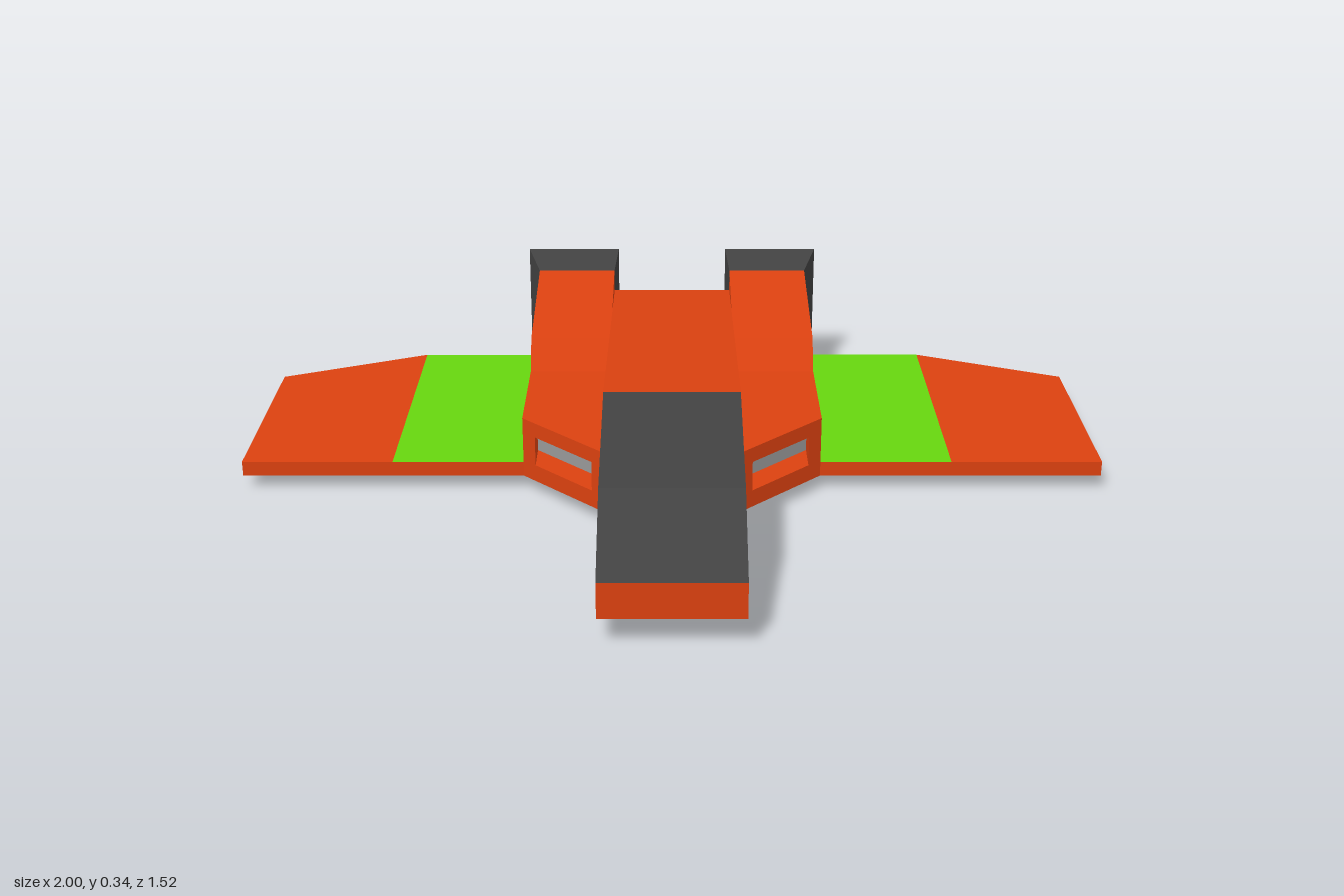
import * as THREE from 'three';

const mat = (name, color) => {
  const m = new THREE.MeshStandardMaterial({ color });
  m.name = name;
  return m;
};

// Slab with a (z, y) side profile, spanning x0..x1
function sideSlab(points, x0, x1) {
  const shape = new THREE.Shape(points.map(p => new THREE.Vector2(...p)));
  return new THREE.ExtrudeGeometry(shape, { depth: x1 - x0, bevelEnabled: false })
    .rotateY(-Math.PI / 2).translate(x1, 0, 0);
}

// Move vertices chosen by the test backwards, the further out the more
const SWEEP = 0.2 / 0.195;
function sweep(geo, test = () => true) {
  const p = geo.attributes.position;
  for (let i = 0; i < p.count; i++) {
    if (test(p.getZ(i))) p.setZ(i, p.getZ(i) - (p.getX(i) - 0.15) * SWEEP);
  }
  geo.computeVertexNormals();
  return geo;
}

// Skin through rectangular sections [x0, x1, y0, y1, z]
function rectLoft(sections) {
  const loops = sections.map(([x0, x1, y0, y1, z]) =>
    [[x0, y0, z], [x1, y0, z], [x1, y1, z], [x0, y1, z]]);
  const v = [];
  for (let s = 0; s < loops.length - 1; s++) {
    for (let i = 0; i < 4; i++) {
      const j = (i + 1) % 4, a = loops[s], b = loops[s + 1];
      v.push(...a[i], ...b[i], ...b[j], ...a[i], ...b[j], ...a[j]);
    }
  }
  const geo = new THREE.BufferGeometry();
  geo.setAttribute('position', new THREE.Float32BufferAttribute(v, 3));
  geo.computeVertexNormals();
  return geo;
}

// Mirrored copy across x = 0 with the winding put right
function mirrored(geo) {
  const g = geo.index ? geo.toNonIndexed() : geo.clone();
  const p = g.attributes.position, a = new THREE.Vector3(), b = new THREE.Vector3();
  g.scale(-1, 1, 1);
  for (let i = 0; i < p.count; i += 3) {
    a.fromBufferAttribute(p, i + 1);
    b.fromBufferAttribute(p, i + 2);
    p.setXYZ(i + 1, b.x, b.y, b.z);
    p.setXYZ(i + 2, a.x, a.y, a.z);
  }
  g.computeVertexNormals();
  return g;
}

export function createModel() {
  const orange = mat('orange hull', 0xdb4110);
  const green = mat('green stripe', 0x66d60f);
  const dark = mat('dark grey', 0x414141);
  const grey = mat('light grey', 0x999999);

  const model = new THREE.Group();
  model.name = 'spacecraft';
  const add = (name, geo, material) => {
    const mesh = new THREE.Mesh(geo, material);
    mesh.name = name;
    model.add(mesh);
  };
  const addPair = (name, geo, material) => {
    add(name + 'Left', geo, material);
    add(name + 'Right', mirrored(geo), material);
  };

  // Fuselage and canopy
  add('fuselage', sideSlab([
    [0.76, 0.065], [0.76, 0.145], [0.49, 0.145], [0.21, 0.185], [0.21, 0.325],
    [-0.69, 0.252], [-0.69, 0.035], [0.49, 0.035]], -0.15, 0.15), orange);
  add('canopy', sideSlab([
    [0.76, 0.145], [0.555, 0.255], [0.21, 0.325], [0.21, 0.185], [0.49, 0.145]],
  -0.15, 0.15), dark);

  // Engine housings with swept front ends
  addPair('engineHousing', sweep(sideSlab([
    [0.12, 0.035], [0.12, 0.18], [-0.285, 0.18], [-0.335, 0.25],
    [-0.69, 0.305], [-0.69, 0.035]], 0.15, 0.345), z => z > 0.1), orange);

  // Hollow air intakes
  const rect = (P, x0, x1, y0, y1) => new P([[x0, y0], [x1, y0], [x1, y1], [x0, y1]]
    .map(p => new THREE.Vector2(...p)));
  const frame = rect(THREE.Shape, 0.15, 0.345, 0.035, 0.18);
  frame.holes.push(rect(THREE.Path, 0.18, 0.315, 0.075, 0.145));
  addPair('intakeFrame', sweep(
    new THREE.ExtrudeGeometry(frame, { depth: 0.09, bevelEnabled: false })
      .translate(0, 0, 0.12)), orange);
  addPair('intakeGrille', sweep(
    new THREE.PlaneGeometry(0.135, 0.07).translate(0.2475, 0.11, 0.122)), grey);

  // Wings: inner panel with a green top, tapered outer panel
  addPair('innerWing', new THREE.BoxGeometry(0.305, 0.035, 0.7)
    .translate(0.4975, 0.0525, -0.34), [orange, orange, green, orange, orange, orange]);
  const tip = new THREE.Shape([[0.65, 0.01], [0.65, -0.69], [1, -0.53], [1, 0.01]]
    .map(p => new THREE.Vector2(...p)));
  addPair('outerWing', new THREE.ExtrudeGeometry(tip, { depth: 0.035, bevelEnabled: false })
    .rotateX(Math.PI / 2).translate(0, 0.07, 0), orange);

  // Flared exhaust nozzles with recessed glow plates
  addPair('nozzle', rectLoft([
    [0.15, 0.345, 0.035, 0.305, -0.69],
    [0.14, 0.375, 0, 0.342, -0.76],
    [0.165, 0.35, 0.028, 0.314, -0.76],
    [0.192, 0.318, 0.06, 0.28, -0.7]]), dark);
  addPair('exhaustPlate', new THREE.PlaneGeometry(0.126, 0.22)
    .rotateY(Math.PI).translate(0.255, 0.17, -0.7), grey);

  return model;
}
